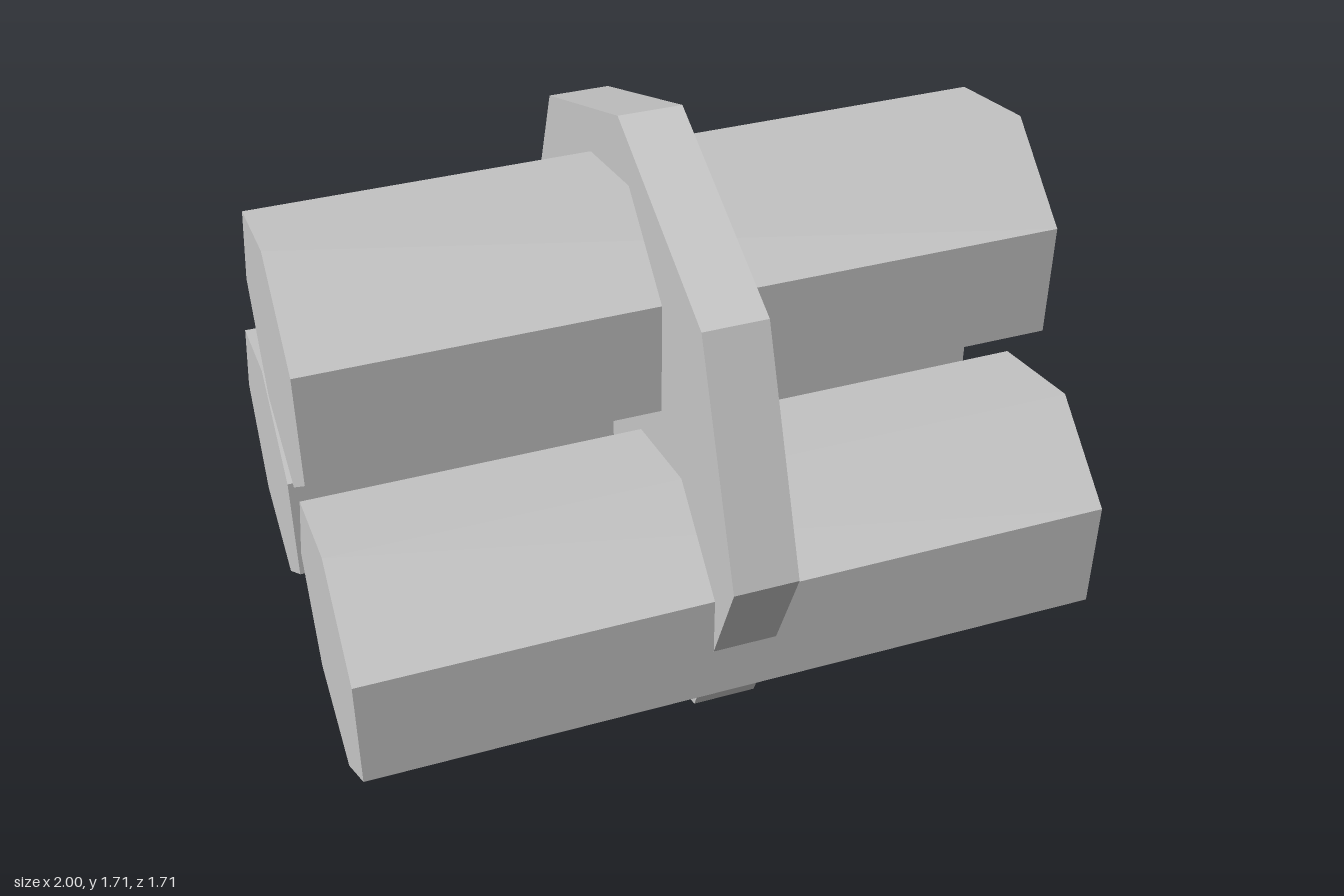
import * as THREE from 'three';

const grey = new THREE.MeshStandardMaterial({ color: 0xc8c8c8 });
grey.name = 'light grey';
grey.flatShading = true;

// Prism lying along x, with one corner pointing to -z
function prism(name, radius, length, sides, y, z) {
  const geometry = new THREE.CylinderGeometry(radius, radius, length, sides, 1, false, Math.PI);
  geometry.rotateZ(Math.PI / 2);
  const mesh = new THREE.Mesh(geometry, grey);
  mesh.name = name;
  mesh.position.set(0, y, z);
  return mesh;
}

export function createModel() {
  const model = new THREE.Group();
  model.name = 'stickBundle';

  // Three seven-sided sticks
  const sticks = [
    ['topStick', 1.2, 0],
    ['frontStick', 0.573, 0.402],
    ['backStick', 0.573, -0.4],
  ];
  for (const [name, y, z] of sticks) model.add(prism(name, 0.37, 2, 7, y, z));

  // Eight-sided band around the middle
  model.add(prism('band', 0.857, 0.17, 8, 0.857, 0));

  return model;
}
